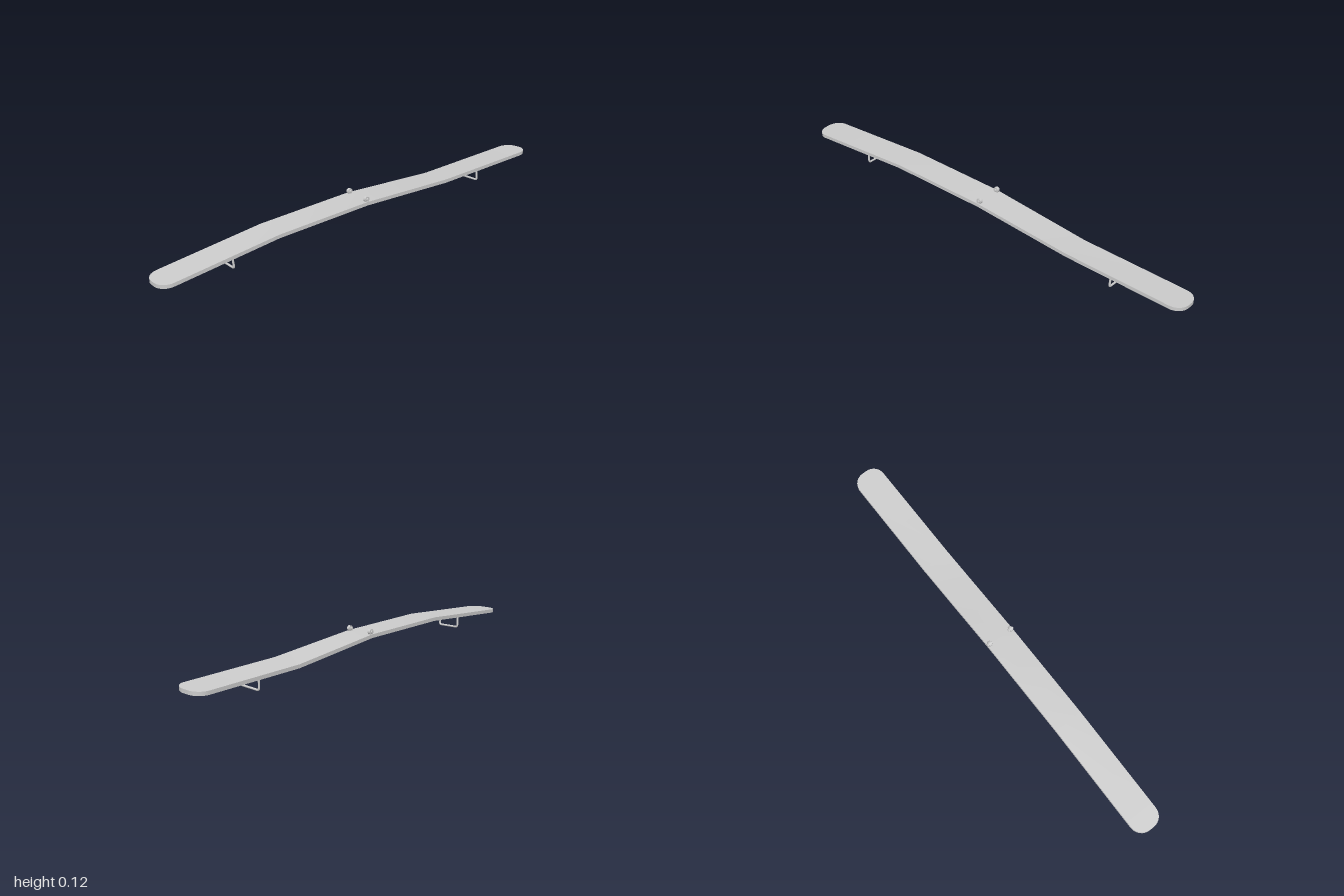
import * as THREE from 'three';
import { toCreasedNormals } from 'three/addons/utils/BufferGeometryUtils.js';

const HALF_WIDTH = 0.065, THICKNESS = 0.016, CORNER = 0.055;
const lerp = THREE.MathUtils.lerp;

// centre height of the bent board along its length
const bends = [[-1, 0.043], [-0.46, 0.09], [0, 0.095], [0.46, 0.064], [1, 0.067]];
function heightAt(x) {
  let i = 0;
  while (i < bends.length - 2 && x > bends[i + 1][0]) i++;
  const [x0, y0] = bends[i], [x1, y1] = bends[i + 1];
  return lerp(y0, y1, (x - x0) / (x1 - x0));
}
// slight twist of the +x half
const twistAt = x => 0.07 * THREE.MathUtils.clamp(x / 0.46, 0, 1);

function makeBoard() {
  // stations along x: rounded end, bends, rounded end
  const end = [];
  for (let i = 0; i <= 8; i++) {
    const a = (i / 8) * Math.PI / 2;
    end.push([1 - CORNER + CORNER * Math.sin(a), HALF_WIDTH - CORNER + CORNER * Math.cos(a)]);
  }
  const middle = [-0.46, 0, 0.15, 0.3, 0.46].map(x => [x, HALF_WIDTH]);
  const stations = [...end.map(([x, w]) => [-x, w]).reverse(), ...middle, ...end];

  const n = stations.length - 1;
  const geo = new THREE.BoxGeometry(n, THICKNESS, 2, n, 1, 1);
  const p = geo.attributes.position;
  for (let i = 0; i < p.count; i++) {
    const [x, w] = stations[Math.round(p.getX(i) + n / 2)];
    const z = p.getZ(i) * w;
    p.setXYZ(i, x, heightAt(x) + p.getY(i) + z * twistAt(x), z);
  }
  return toCreasedNormals(geo, 0.5);
}

// U-shaped wire stand, hanging from its origin
function makeStand() {
  const path = new THREE.CurvePath();
  const v = (y, z) => new THREE.Vector3(0, y, z);
  const depth = -0.0565, half = 0.049, r = 0.01;
  const pts = [v(0, 0.046), v(depth + r, half), v(depth, half - r),
    v(depth, -half + r), v(depth + r, -half), v(0, -0.046)];
  path.add(new THREE.LineCurve3(pts[0], pts[1]));
  path.add(new THREE.QuadraticBezierCurve3(pts[1], v(depth, half), pts[2]));
  path.add(new THREE.LineCurve3(pts[2], pts[3]));
  path.add(new THREE.QuadraticBezierCurve3(pts[3], v(depth, -half), pts[4]));
  path.add(new THREE.LineCurve3(pts[4], pts[5]));
  return new THREE.TubeGeometry(path, 60, 0.0045, 10);
}

export function createModel() {
  const model = new THREE.Group();
  const material = new THREE.MeshStandardMaterial({ color: 0xcccccc });
  const add = (parent, name, geo) => {
    const mesh = new THREE.Mesh(geo, material);
    mesh.name = name;
    parent.add(mesh);
    return mesh;
  };

  add(model, 'board', makeBoard());

  // wire stands, square to the board where they meet it
  const standGeo = makeStand();
  for (const [name, x] of [['rightStand', -0.675], ['leftStand', 0.67]]) {
    const stand = add(model, name, standGeo);
    stand.position.set(x, heightAt(x), 0);
    const slope = (heightAt(x + 0.01) - heightAt(x - 0.01)) / 0.02;
    stand.rotation.set(-twistAt(x), 0, Math.atan(slope));
  }

  // pivot lugs with cross pins on both edges at the middle
  for (const side of [1, -1]) {
    const lug = new THREE.Group();
    lug.name = side > 0 ? 'frontLug' : 'backLug';
    lug.position.set(0, 0.113, side * 0.055);
    const eye = add(lug, 'eye', new THREE.CylinderGeometry(0.012, 0.012, 0.012, 24));
    const pin = add(lug, 'pin', new THREE.CylinderGeometry(0.006, 0.006, 0.024, 16));
    eye.rotation.x = pin.rotation.x = Math.PI / 2;
    const foot = add(lug, 'foot', new THREE.BoxGeometry(0.016, 0.014, 0.012));
    foot.position.y = -0.011;
    model.add(lug);
  }
  return model;
}
